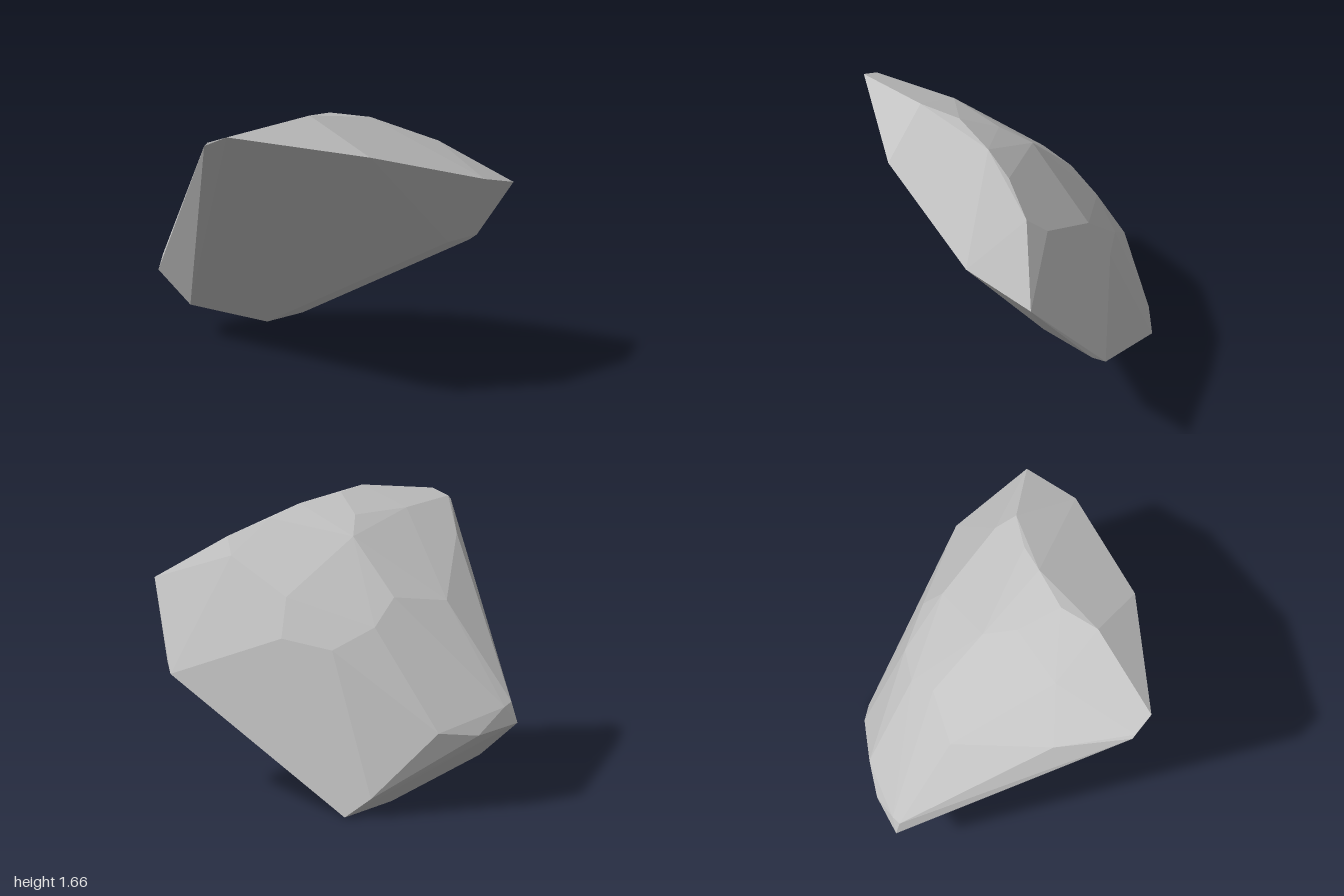
import * as THREE from 'three';
import { ConvexGeometry } from 'three/addons/geometries/ConvexGeometry.js';

export function createModel() {
  const group = new THREE.Group();
  group.name = 'rock';
  const stone = new THREE.MeshStandardMaterial({ color: 0xc2c2c2, flatShading: true });
  stone.name = 'grey stone';

  // Rim of the flat underside
  const rim = [
    [0, 1.57, 0.89], [0.02, 1.59, 0.89], [0.14, 1.635, 0.89], [0.66, 1.49, 0.38],
    [0.99, 1.26, -0.29], [1, 1.15, -0.66], [0.66, 0.755, -0.55], [0.7, 0.72, -0.855],
    [0.63, 0.66, -0.9], [-0.45, 0, -0.71], [-0.52, 0.03, -0.4], [-0.79, 0.24, 0.04],
    [-1, 0.44, 0.08],
  ];
  // Chipped lower back edge
  const chips = [
    [-0.96, 0.55, 0.08], [-0.955, 0.53, 0.02], [-0.91, 0.4, -0.16],
    [-0.78, 0.425, -0.34], [-0.61, 0.27, -0.51], [-0.56, 0.1, -0.63],
  ];
  // Ridge along the crown
  const ridge = [
    [0.31, 1.665, 0.4], [0.29, 1.63, 0.17], [0.4, 1.57, -0.07],
    [0.48, 1.49, -0.24], [0.635, 1.39, -0.43], [0.54, 1.29, -0.5],
  ];
  // Rounded, faceted upper face
  const crown = [
    [-0.25, 1.39, 0.59], [-0.02, 1.54, 0.4], [-0.06, 1.45, 0.2], [-0.13, 1.37, 0.12],
    [0.085, 1.51, 0.05], [-0.02, 1.4, -0.1], [0.06, 1.28, -0.25], [0.11, 1.09, -0.52],
    [0.29, 1.14, -0.52], [-0.52, 1.06, 0.1], [-0.46, 1.07, 0.05], [-0.36, 1.09, -0.17],
    [-0.36, 0.945, -0.34], [-0.22, 0.83, -0.53], [0.05, 0.88, -0.63], [0.26, 0.97, -0.62],
  ];

  const points = [...rim, ...chips, ...ridge, ...crown].map((p) => new THREE.Vector3(...p));
  const boulder = new THREE.Mesh(new ConvexGeometry(points), stone);
  boulder.name = 'boulder';
  group.add(boulder);
  return group;
}
